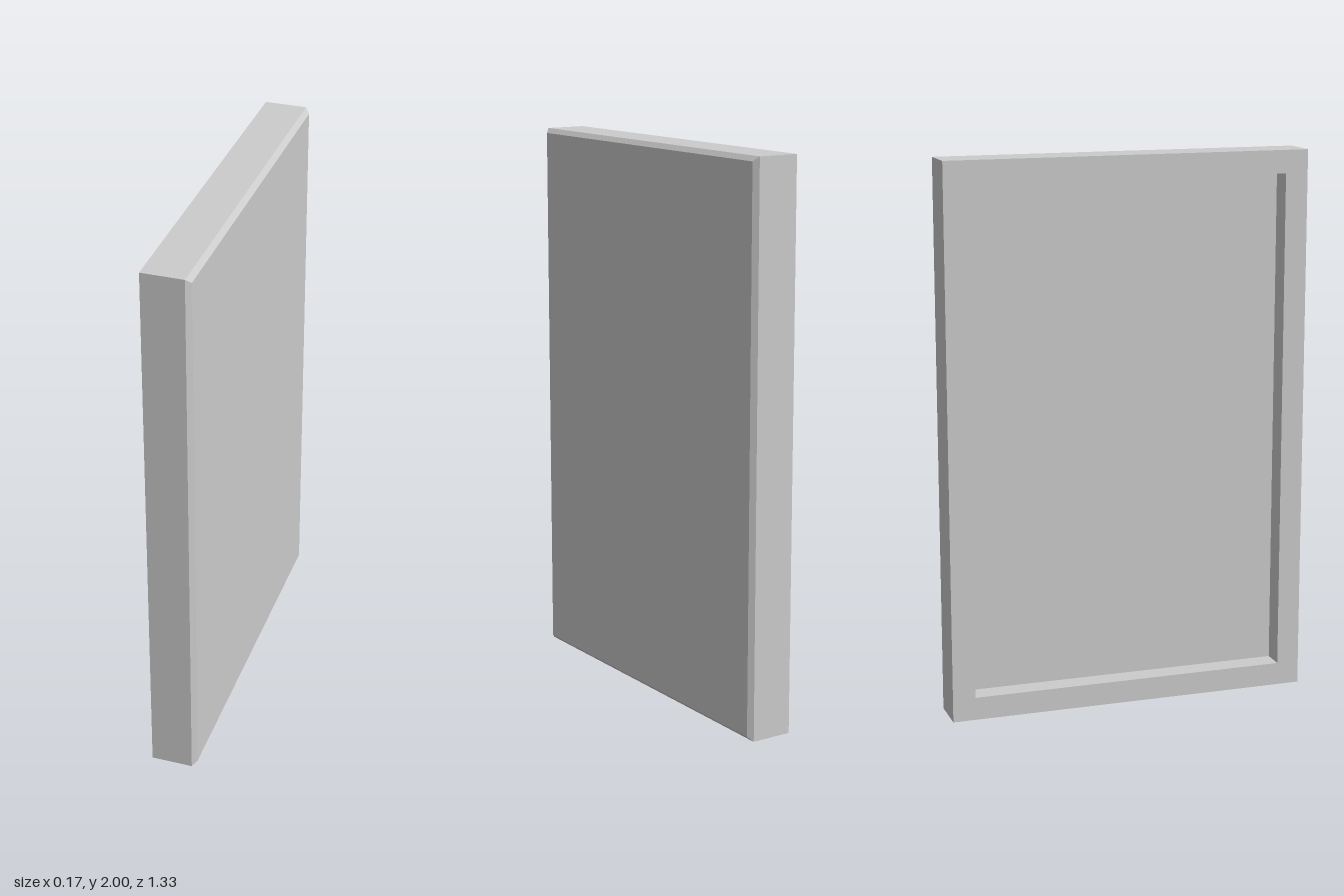
import * as THREE from 'three';

const HEIGHT = 2, WIDTH = 1.3333, HALF_DEPTH = 0.0833;
const BORDER = 0.0833, CHAMFER = 0.0167;

// Rectangular loop at depth x, inset from the outline; counter-clockwise seen from +x
function loop([x, inset]) {
  const z = WIDTH / 2 - inset, low = inset, high = HEIGHT - inset;
  return [[x, low, z], [x, low, -z], [x, high, -z], [x, high, z]];
}

// Flat-sided closed skin through a series of rectangular loops
function loftRectangles(profile) {
  const loops = profile.map(loop);
  const positions = [];
  const quad = (a, b, c, d) => positions.push(...a, ...b, ...c, ...a, ...c, ...d);
  for (let i = 0; i < loops.length - 1; i++) {
    for (let k = 0; k < 4; k++) {
      const n = (k + 1) % 4;
      quad(loops[i][k], loops[i][n], loops[i + 1][n], loops[i + 1][k]);
    }
  }
  quad(...[...loops[0]].reverse());
  quad(...loops[loops.length - 1]);
  const geometry = new THREE.BufferGeometry();
  geometry.setAttribute('position', new THREE.Float32BufferAttribute(positions, 3));
  geometry.computeVertexNormals();
  return geometry;
}

export function createModel() {
  const group = new THREE.Group();
  group.name = 'framedPanel';
  const material = new THREE.MeshStandardMaterial({ color: 0xcccccc, flatShading: true });

  // Recess floor, recess wall, rim, outer side, then the chamfered face
  const panel = new THREE.Mesh(loftRectangles([
    [0, BORDER],
    [-HALF_DEPTH, BORDER],
    [-HALF_DEPTH, 0],
    [HALF_DEPTH - CHAMFER, 0],
    [HALF_DEPTH, CHAMFER],
  ]), material);
  panel.name = 'panelWithRecessedBack';
  group.add(panel);
  return group;
}
